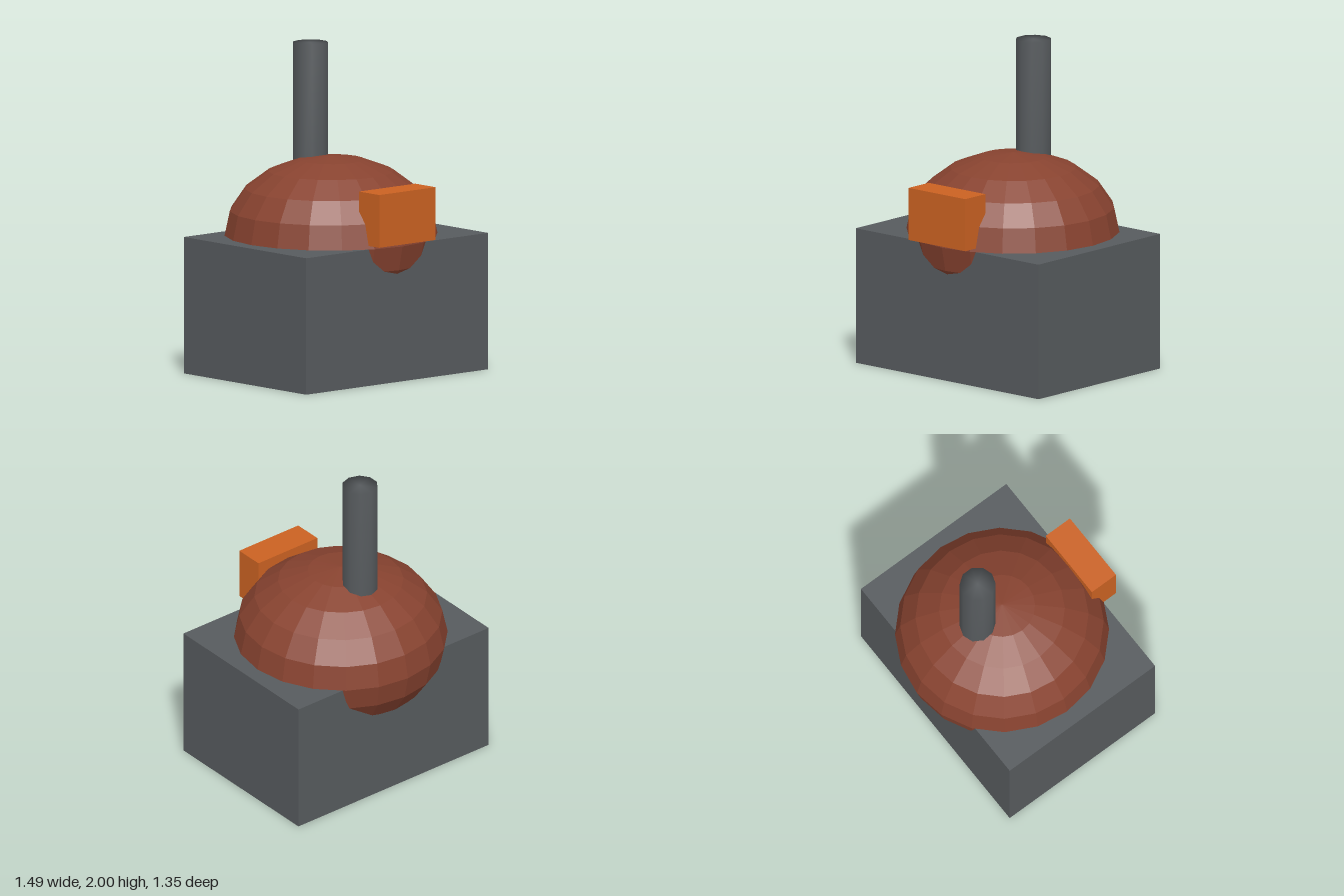
import * as THREE from 'three';
import { mergeVertices } from 'three/addons/utils/BufferGeometryUtils.js';

export function createModel() {
  const group = new THREE.Group();
  const material = (name, color) => {
    const m = new THREE.MeshStandardMaterial({ color });
    m.name = name;
    return m;
  };
  const grey = material('slate grey', 0x575b5e);
  const brick = material('brick red', 0x884330);
  const orange = material('orange', 0xcb6222);

  const add = (name, geometry, mat, x, y, z) => {
    const mesh = new THREE.Mesh(geometry, mat);
    mesh.name = name;
    mesh.position.set(x, y, z);
    group.add(mesh);
    return mesh;
  };

  // Separate the faces so that each facet is flat
  const faceted = (geometry) => {
    const g = geometry.toNonIndexed();
    g.computeVertexNormals();
    return g;
  };

  // Share normals across the rim for soft shading
  const softened = (geometry) => {
    geometry.deleteAttribute('normal');
    geometry.deleteAttribute('uv');
    const g = mergeVertices(geometry);
    g.computeVertexNormals();
    return g;
  };

  // Block base
  add('base', new THREE.BoxGeometry(1.485, 0.84, 1.115), grey, 0, 0.42, 0.023);

  // Flattened dome, sunk halfway into the base and bulging out front and back
  const ball = new THREE.SphereGeometry(1, 20, 10).scale(0.65, 0.485, 0.652);
  add('dome', faceted(ball), brick, 0, 0.84, -0.023);

  // Upright pipe, rising from inside the dome
  add('pipe', softened(new THREE.CylinderGeometry(0.11, 0.11, 1.1, 10)), grey, 0, 1.45, -0.21);

  // Block on the front of the dome
  add('frontBlock', new THREE.BoxGeometry(0.46, 0.325, 0.185), orange, 0, 1.024, 0.582);

  return group;
}
